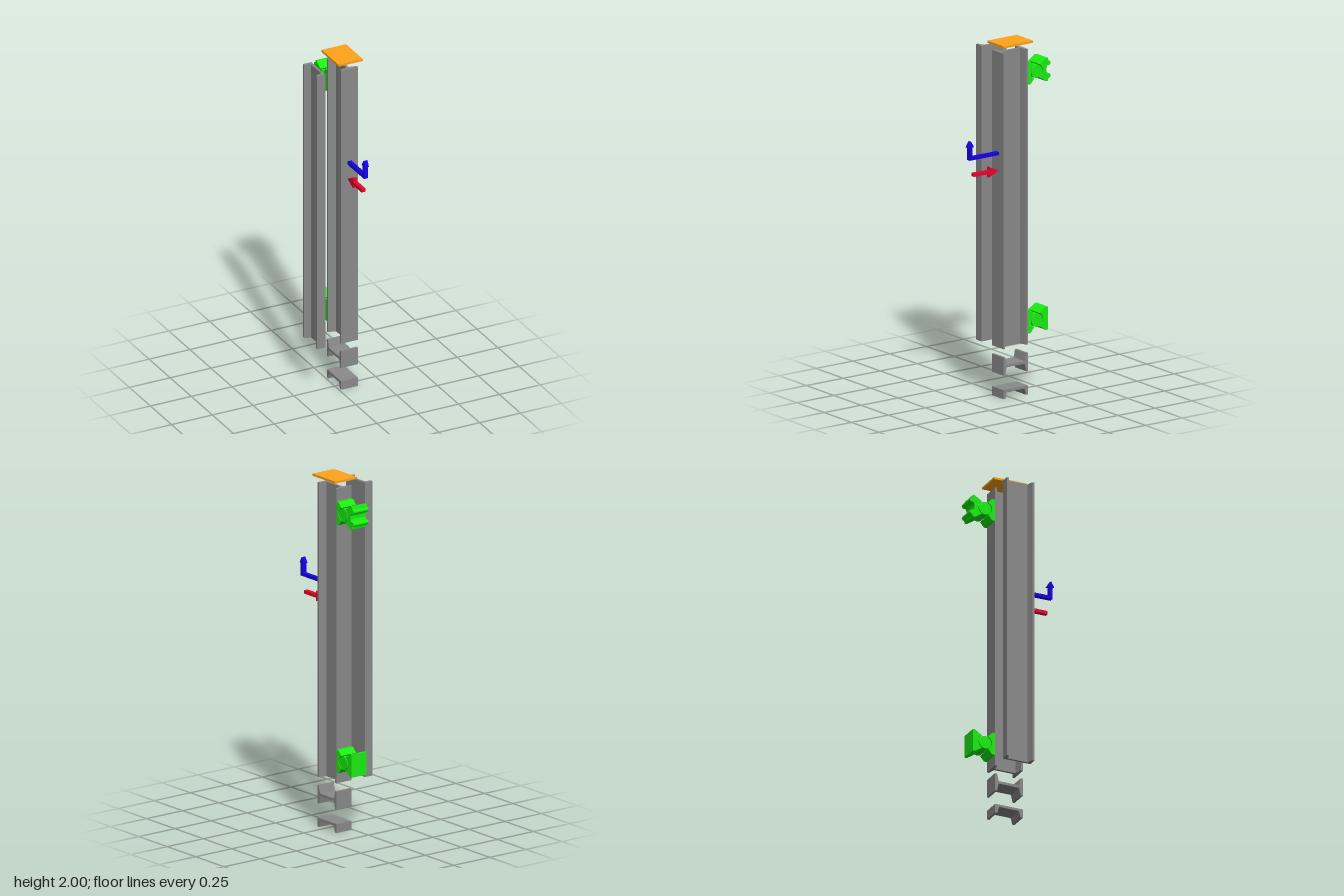
import * as THREE from 'three';

const mat = (color) => new THREE.MeshStandardMaterial({ color });
const steel = mat(0x8a8a8a), green = mat(0x1aee12), blue = mat(0x1600e8),
  red = mat(0xe8062c), orange = mat(0xffa31a);

// Shared beam dimensions
const BACK = -0.112, FRONT = 0.055, X0 = 0.01, WIDTH = 0.103, XC = X0 + WIDTH / 2;
const DEPTH = FRONT - BACK, HALF = DEPTH / 2, ZC = (FRONT + BACK) / 2;

const toShape = (pts) => new THREE.Shape(pts.map(([a, b]) => new THREE.Vector2(a, b)));
const extrude = (shape, depth) =>
  new THREE.ExtrudeGeometry(shape, { depth, bevelEnabled: false, curveSegments: 20 });

function add(parent, name, geometry, material, x = 0, y = 0, z = 0) {
  const mesh = new THREE.Mesh(geometry, material);
  mesh.name = name;
  mesh.position.set(x, y, z);
  parent.add(mesh);
}

// Profile drawn as (-z, y), extruded along +x
const alongX = (shape, w) => extrude(shape, w).rotateY(Math.PI / 2);
// Profile drawn as (x, -z), extruded along +y
const alongY = (shape, h) => extrude(shape, h).rotateX(-Math.PI / 2);

// Rolled I section: depth along the first axis, flange width along the second
function iSection() {
  const w = WIDTH / 2, t = 0.0075, tip = HALF - 0.012, root = HALF - 0.022;
  return [[-HALF, -w], [-tip, -w], [-root, -t], [root, -t], [tip, -w], [HALF, -w],
    [HALF, w], [tip, w], [root, t], [-root, t], [-tip, w], [-HALF, w]];
}

// Rolled channel: web at the top, tapered flanges hanging down to zero
function channelSection() {
  const h = 0.051, web = h - 0.014, tip = HALF - 0.0135, root = HALF - 0.024;
  return [[-HALF, 0], [-tip, 0], [-root, web], [root, web], [tip, 0], [HALF, 0],
    [HALF, h], [-HALF, h]];
}

// Flat arrow parts share one thickness
const ARROW_W = 0.025, ARROW_X = 0.0485;
function addArrowPart(parent, name, pts, material) {
  add(parent, name, alongX(toShape(pts), ARROW_W), material, ARROW_X);
}

// Pivot clamp: two jaws cupped round a pin. Profiles are (-z, y) about the pin centre.
function makeClamp(name, y, ribbed) {
  const g = new THREE.Group();
  g.name = name;
  g.position.set(X0, y, -0.172);
  const H = 0.065, R = 0.0415, a = Math.atan2(0.038, 0.019);

  const base = new THREE.Shape();
  base.moveTo(-0.06, -H);
  base.lineTo(-0.042, -H);
  base.lineTo(-R * Math.cos(a), -R * Math.sin(a));
  base.absarc(0, 0, R, Math.PI + a, Math.PI - a, true);
  base.lineTo(-0.042, H);
  base.lineTo(-0.06, H);
  add(g, 'fixedJaw', alongX(base, WIDTH), green);

  const jaw = new THREE.Shape();
  jaw.moveTo(R * Math.cos(a), -R * Math.sin(a));
  jaw.lineTo(0.062, -H);
  jaw.lineTo(0.074, -H);
  if (ribbed) {
    // Grooved back between the ribs
    [[0.078, -0.05], [0.072, -0.026], [0.064, -0.01], [0.064, 0.01], [0.072, 0.026], [0.078, 0.05]]
      .forEach(([u, v]) => jaw.lineTo(u, v));
  }
  jaw.lineTo(0.074, H);
  jaw.lineTo(0.062, H);
  jaw.lineTo(R * Math.cos(a), R * Math.sin(a));
  jaw.absarc(0, 0, R, a, -a, true);
  add(g, 'swingJaw', alongX(jaw, WIDTH), green);

  const rod = (r) => new THREE.CylinderGeometry(r, r, WIDTH, 28).rotateZ(Math.PI / 2);
  add(g, 'pivotPin', rod(0.037), green, WIDTH / 2);
  if (ribbed) for (const s of [-1, 1]) add(g, 'gripRib', rod(0.013), green, WIDTH / 2, s * 0.036, -0.079);
  return g;
}

export function createModel() {
  const model = new THREE.Group();
  model.name = 'columnDiagram';

  // Upright columns
  const BOTTOM = 0.282, HEIGHT = 1.669;
  const iUpright = toShape(iSection().map(([u, v]) => [-v, u]));
  add(model, 'iColumn', alongY(iUpright, HEIGHT), steel, XC, BOTTOM, ZC);
  const cUpright = toShape(channelSection().map(([u, v]) => [v, -u]));
  add(model, 'channelColumn', alongY(cUpright, HEIGHT), steel, -0.137, BOTTOM, ZC);

  // Short section samples under the column
  add(model, 'iSample', alongX(toShape(iSection()), WIDTH), steel, X0, 0.184, ZC);
  add(model, 'channelSample', alongX(toShape(channelSection()), WIDTH), steel, X0, 0, ZC);

  // Cap plate
  add(model, 'capPlate', new THREE.BoxGeometry(0.15, 0.012, 0.2), orange, XC - 0.0005, 1.994, -0.03);

  // Clamps behind the column
  model.add(makeClamp('upperClamp', 1.814, true), makeClamp('lowerClamp', 0.409, false));

  // Bent arrow pointing up
  const bent = new THREE.Group();
  bent.name = 'upArrow';
  addArrowPart(bent, 'bentShaft', [[-0.253, 1.37], [-FRONT, 1.37], [-FRONT, 1.388],
    [-0.235, 1.388], [-0.235, 1.443], [-0.253, 1.443]], blue);
  addArrowPart(bent, 'upArrowHead', [[-0.264, 1.443], [-0.224, 1.443], [-0.244, 1.476]], blue);
  model.add(bent);

  // Straight arrow pointing at the column
  const straight = new THREE.Group();
  straight.name = 'inwardArrow';
  addArrowPart(straight, 'straightShaft', [[-0.224, 1.274], [-0.12, 1.274], [-0.12, 1.293], [-0.224, 1.293]], red);
  addArrowPart(straight, 'inwardArrowHead', [[-0.12, 1.254], [-0.058, 1.2835], [-0.12, 1.313]], red);
  model.add(straight);

  return model;
}
